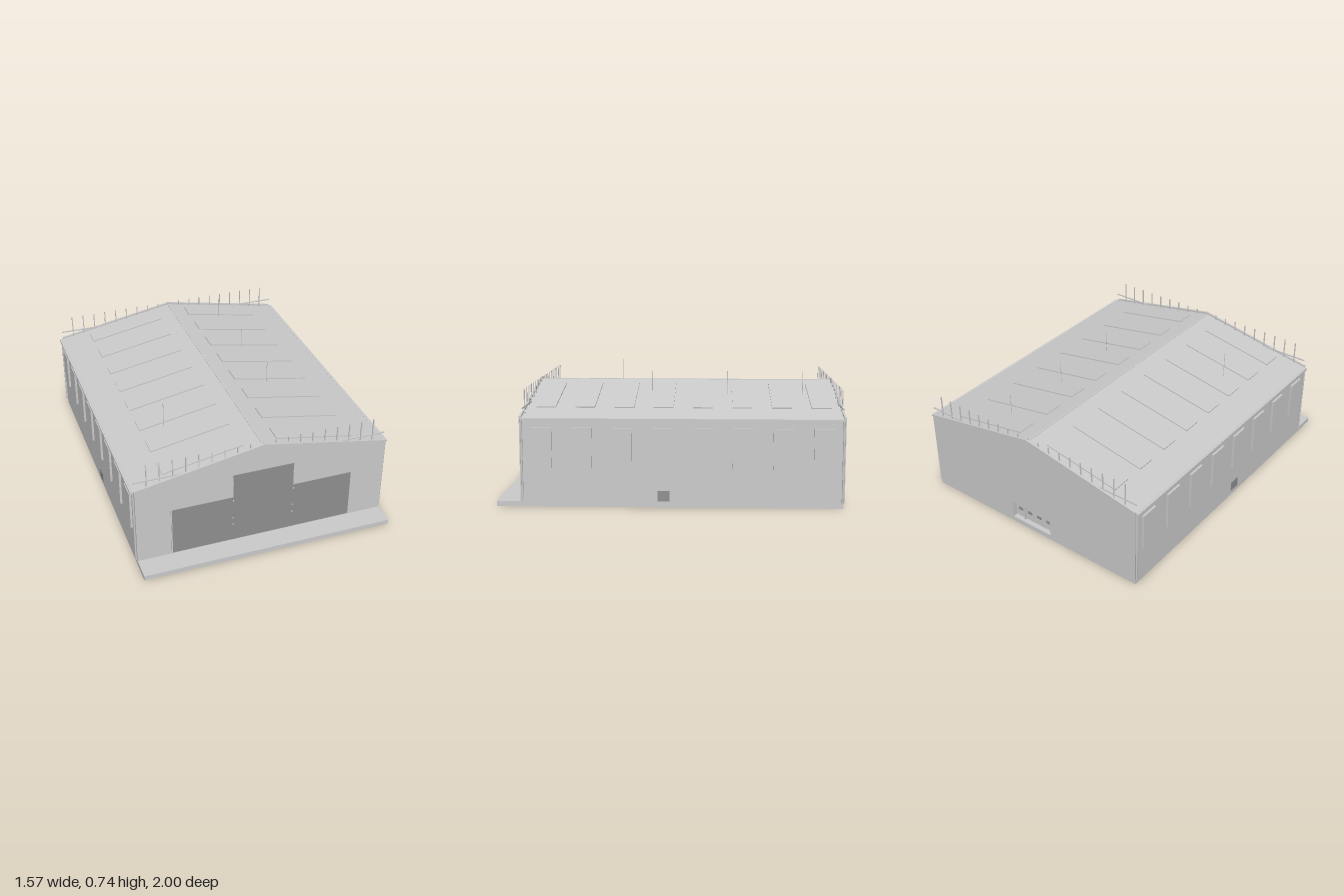
import * as THREE from 'three';

const grey = new THREE.MeshStandardMaterial({ color: 0xcccccc });
const dark = new THREE.MeshStandardMaterial({ color: 0x909090 });

export function createModel() {
  const hall = new THREE.Group();
  hall.name = 'hall';

  const add = (name, geometry, x, y, z, material = grey, parent = hall) => {
    const mesh = new THREE.Mesh(geometry, material);
    mesh.name = name;
    mesh.position.set(x, y, z);
    parent.add(mesh);
    return mesh;
  };
  const box = (name, w, h, d, x, y, z, material, parent) =>
    add(name, new THREE.BoxGeometry(w, h, d), x, y, z, material, parent);
  const outline = (points) => new THREE.Shape(points.map(([x, y]) => new THREE.Vector2(x, y)));
  const extrude = (name, shape, z0, z1) =>
    add(name, new THREE.ExtrudeGeometry(shape, { depth: z1 - z0, bevelEnabled: false }), 0, 0, z0);
  const gable = (eave, ridge) =>
    outline([[-0.765, 0.03], [0.765, 0.03], [0.765, eave], [0, ridge], [-0.765, eave]]);

  // Slab with forecourt, and the main body
  box('slab', 1.53, 0.03, 1.99, 0, 0.015, 0.005);
  extrude('body', gable(0.507, 0.648), -0.96, 0.85);

  // Gable walls rise slightly above the roof; the rear one has a door opening
  extrude('frontGable', gable(0.525, 0.668), 0.85, 0.863);
  const rear = gable(0.525, 0.668);
  rear.holes.push(new THREE.Path([[-0.145, 0.04], [-0.145, 0.155], [0.145, 0.155], [0.145, 0.04]]
    .map(([x, y]) => new THREE.Vector2(x, y))));
  extrude('rearGable', rear, -0.997, -0.985);
  const inner = gable(0.507, 0.648);
  inner.holes.push(rear.holes[0]);
  extrude('rearWall', inner, -0.985, -0.96);

  // Roof sheet and ridge cap
  extrude('roof', outline([[-0.785, 0.502], [0, 0.645], [0.785, 0.502],
    [0.785, 0.512], [0, 0.656], [-0.785, 0.512]]), -0.987, 0.85);
  box('ridgeCap', 0.01, 0.006, 1.83, 0, 0.655, -0.07);

  // Skylights and wall windows share the same eight bays
  const slope = Math.atan2(0.144, 0.785);
  for (const side of [-1, 1]) {
    const pitch = new THREE.Group();
    pitch.name = 'skylights';
    pitch.position.y = 0.656;
    pitch.rotation.z = -side * slope;
    hall.add(pitch);
    for (let i = 0; i < 8; i++) {
      const z = 0.735 - 0.23 * i;
      box('skylight', 0.49, 0.008, 0.115, side * 0.347, 0.003, z, grey, pitch);
      box('window', 0.016, 0.235, 0.115, side * 0.77, 0.343, z);
    }

    // Gutter, corner downpipes and wall vent
    box('gutter', 0.018, 0.012, 1.84, side * 0.776, 0.51, -0.068);
    for (const z of [0.85, -0.985]) {
      add('downpipe', new THREE.CylinderGeometry(0.006, 0.006, 0.475, 8), side * 0.77, 0.272, z);
    }
    box('wallVent', 0.008, 0.062, 0.07, side * 0.766, 0.066, 0.037, dark);
  }

  // Front doors: a tall centre leaf and two low side leaves with posts
  const doorZ = 0.864;
  box('centreDoor', 0.37, 0.462, 0.006, 0, 0.268, doorZ, dark);
  for (const side of [-1, 1]) {
    box('sideDoor', 0.37, 0.307, 0.005, side * 0.37, 0.1905, doorZ, dark);
    box('doorPost', 0.006, 0.312, 0.008, side * 0.557, 0.193, doorZ);
    for (const y of [0.15, 0.2, 0.32, 0.44]) {
      box('hinge', 0.006, 0.012, 0.01, side * 0.186, y, doorZ);
    }
  }

  // Rear door: recessed leaves with small lights and a mullion
  box('rearDoor', 0.29, 0.115, 0.006, 0, 0.0975, -0.964);
  box('rearDoorMullion', 0.008, 0.115, 0.015, 0.07, 0.0975, -0.972);
  for (let i = 0; i < 4; i++) {
    box('rearDoorLight', 0.03, 0.018, 0.006, 0.107 - 0.072 * i, 0.1, -0.968, dark);
  }

  // Railing of uprights and a cross bar along each gable
  for (const z of [0.842, -0.981]) {
    box('railBar', 1.53, 0.007, 0.007, 0, 0.57, z);
    for (let i = -9; i <= 9; i++) {
      const base = 0.65 - 0.1834 * Math.abs(i * 0.0765);
      box('railUpright', 0.006, 0.675 - base, 0.006, i * 0.0765, (0.675 + base) / 2, z);
    }
  }

  // Slender roof masts
  for (const [x, z] of [[0.305, 0.126], [0.305, -0.33], [0.305, -0.785], [-0.445, 0.37]]) {
    const base = 0.65 - 0.1834 * Math.abs(x);
    add('mast', new THREE.CylinderGeometry(0.0015, 0.0015, 0.74 - base, 6), x, (0.74 + base) / 2, z);
  }
  return hall;
}
